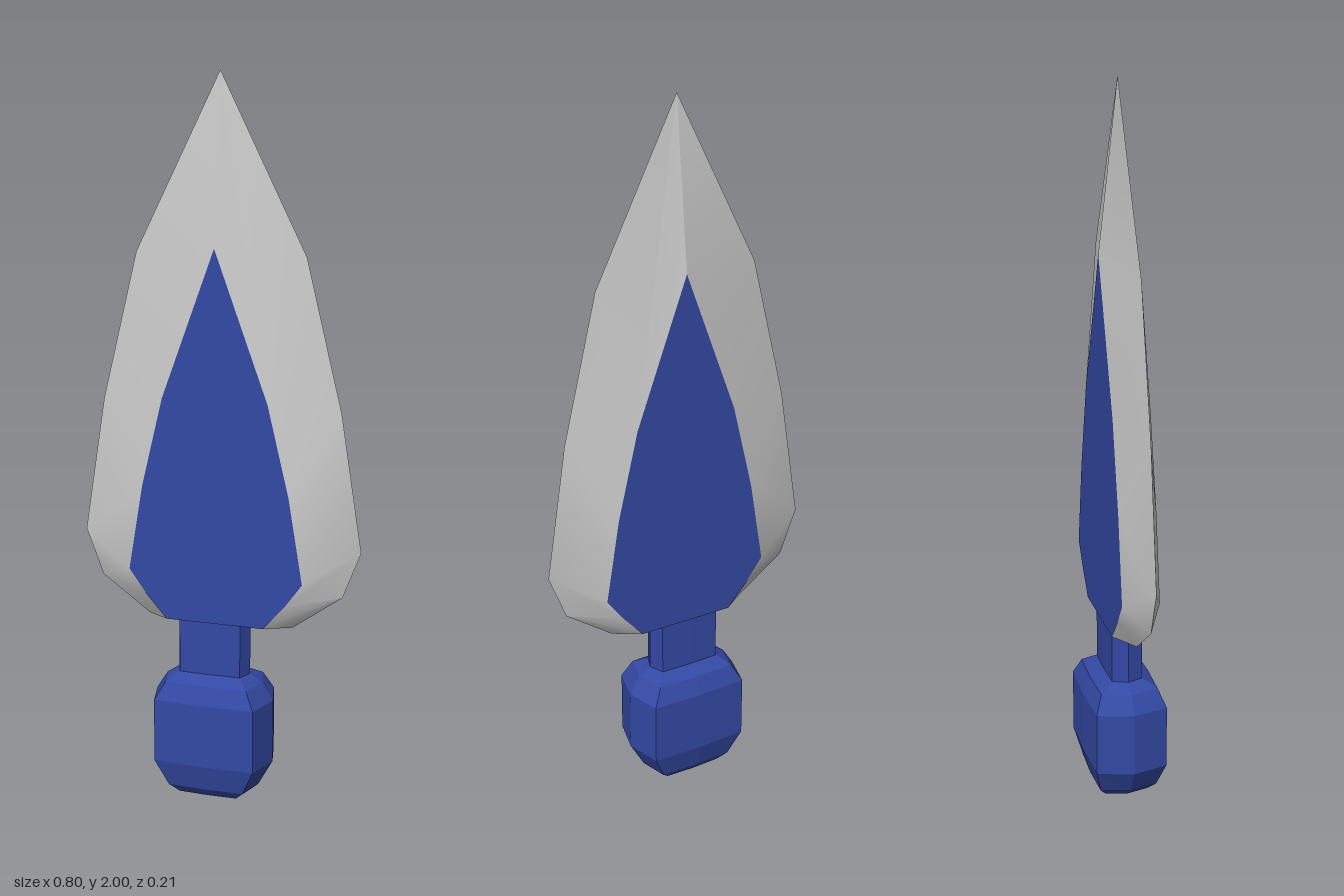
import * as THREE from 'three';
import { toCreasedNormals } from 'three/addons/utils/BufferGeometryUtils.js';

const HALF_DEPTH = 0.052;

// Right half outlines from tip to base: sharp rim (z = 0) and inset panel (z = +-HALF_DEPTH)
const RIM = [[0, 2], [0.24, 1.52], [0.34, 1.11], [0.4, 0.73], [0.35, 0.6], [0.21, 0.5]];
const PANEL = [[0, 1.54], [0.15, 1.13], [0.21, 0.88], [0.25, 0.64], [0.2, 0.572], [0.14, 0.505]];

// Handle cross-section, and its stations as [y, half width, half depth]
const SECTION = [[1, 0], [0.84, 0.95], [0, 1], [-0.84, 0.95], [-1, 0], [-0.84, -0.95], [0, -1], [0.84, -0.95]];
const STATIONS = [
  [0, 0.1, 0.065], [0.025, 0.13, 0.085], [0.1, 0.172, 0.106], [0.28, 0.172, 0.106],
  [0.33, 0.14, 0.085], [0.35, 0.11, 0.05], [0.352, 0.105, 0.045], [0.512, 0.105, 0.045],
];

function mirrorOutline(half) {
  return [...half, ...half.slice(1).reverse().map(([x, y]) => [-x, y])];
}

function makeGeometry(positions, index) {
  const geometry = new THREE.BufferGeometry();
  geometry.setAttribute('position', new THREE.Float32BufferAttribute(positions, 3));
  geometry.setIndex(index);
  return geometry;
}

// Bevels running from the rim to the front and back panels
function bevelGeometry() {
  const rim = mirrorOutline(RIM), panel = mirrorOutline(PANEL), n = rim.length;
  const positions = [], index = [];
  rim.forEach(([x, y]) => positions.push(x, y, 0));
  for (const z of [HALF_DEPTH, -HALF_DEPTH]) panel.forEach(([x, y]) => positions.push(x, y, z));
  for (let j = 0; j < n; j++) {
    const k = (j + 1) % n;
    index.push(j, n + j, n + k, j, n + k, k);
    index.push(j, k, 2 * n + k, j, 2 * n + k, 2 * n + j);
  }
  const geometry = makeGeometry(positions, index);
  return toCreasedNormals(geometry, 0.5);
}

// Loft through the handle stations, with closed ends
function handleGeometry() {
  const n = SECTION.length, rows = STATIONS.length;
  const positions = [], index = [];
  for (const [y, w, d] of STATIONS) {
    for (const [x, z] of SECTION) positions.push(x * w, y, z * d);
  }
  for (let i = 0; i < rows - 1; i++) {
    for (let j = 0; j < n; j++) {
      const k = (j + 1) % n;
      const a = i * n + j, b = i * n + k, c = b + n, d = a + n;
      index.push(a, d, c, a, c, b);
    }
  }
  const top = (rows - 1) * n;
  for (let j = 1; j < n - 1; j++) {
    index.push(0, j, j + 1);
    index.push(top, top + j + 1, top + j);
  }
  return makeGeometry(positions, index);
}

export function createModel() {
  const model = new THREE.Group();
  model.name = 'dagger';
  const grey = new THREE.MeshStandardMaterial({ color: 0xcccccc });
  const blue = new THREE.MeshStandardMaterial({ color: 0x3349a4, flatShading: true });

  const add = (name, geometry, material) => {
    const mesh = new THREE.Mesh(geometry, material);
    mesh.name = name;
    model.add(mesh);
    return mesh;
  };

  // Blade
  add('bladeBevels', bevelGeometry(), grey);
  const outline = new THREE.Shape(mirrorOutline(PANEL).map(([x, y]) => new THREE.Vector2(x, y)));
  const panel = new THREE.ShapeGeometry(outline);
  add('frontPanel', panel, blue).position.z = HALF_DEPTH;
  const back = add('backPanel', panel, blue);
  back.position.z = -HALF_DEPTH;
  back.rotation.y = Math.PI;

  // Grip and pommel, set slightly off centre
  add('handle', handleGeometry(), blue).position.x = -0.017;

  return model;
}
